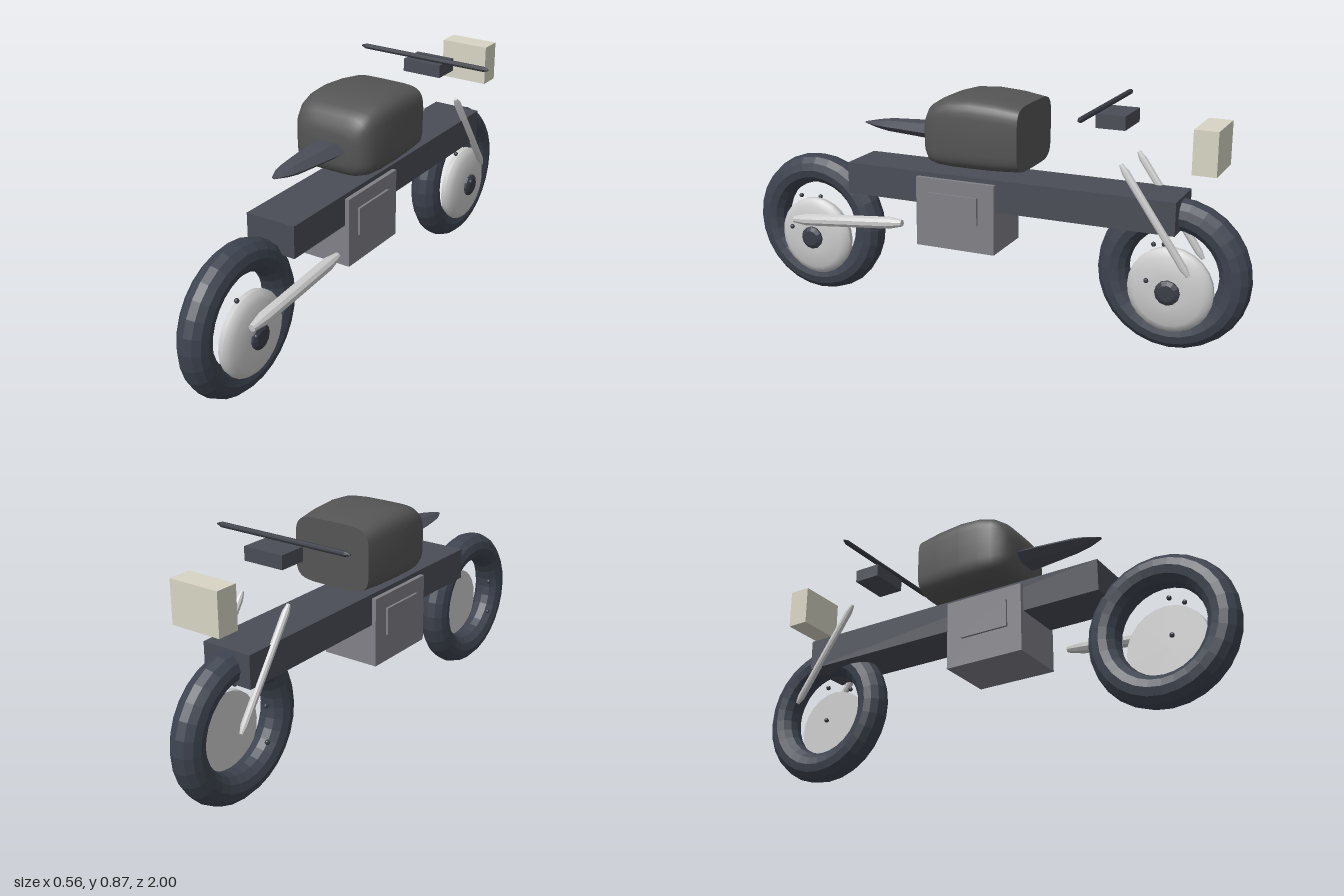
import * as THREE from 'three';
import { toCreasedNormals } from 'three/addons/utils/BufferGeometryUtils.js';

const paint = (color, flatShading = false) => new THREE.MeshStandardMaterial({ color, flatShading });
const rubber = paint(0x3d434f, true);
const frameDark = paint(0x4a4d57);
const trimDark = paint(0x3a3d46, true);
const tankGrey = paint(0x555555);
const engineGrey = paint(0x808087);
const metal = paint(0xcfcfcf);
const cream = paint(0xd8d5c4);

function add(parent, name, geometry, material, x = 0, y = 0, z = 0) {
  const mesh = new THREE.Mesh(geometry, material);
  mesh.name = name;
  mesh.position.set(x, y, z);
  parent.add(mesh);
  return mesh;
}

// Box given by its half width in x and its y and z limits
function box(parent, name, hw, y0, y1, z0, z1, material) {
  add(parent, name, new THREE.BoxGeometry(hw * 2, y1 - y0, z1 - z0), material, 0, (y0 + y1) / 2, (z0 + z1) / 2);
}

// Closed loft through superellipse sections [z, halfWidth, y0, y1, power], z increasing
function loft(sections, n, crease) {
  const pos = [], index = [];
  const bend = (v, p) => Math.sign(v) * Math.abs(v) ** (2 / p);
  for (const [z, hw, y0, y1, p] of sections) {
    for (let j = 0; j < n; j++) {
      const a = (j / n) * Math.PI * 2;
      pos.push(hw * bend(Math.cos(a), p), (y0 + y1) / 2 + ((y1 - y0) / 2) * bend(Math.sin(a), p), z);
    }
  }
  const last = sections.length - 1;
  for (let i = 0; i < last; i++) {
    for (let j = 0; j < n; j++) {
      const a = i * n + j, b = i * n + (j + 1) % n;
      index.push(a, b, a + n, b, b + n, a + n);
    }
  }
  const centre = pos.length / 3;
  for (const i of [0, last]) pos.push(0, (sections[i][2] + sections[i][3]) / 2, sections[i][0]);
  for (let j = 0; j < n; j++) {
    const k = (j + 1) % n;
    index.push(centre, k, j, centre + 1, last * n + j, last * n + k);
  }
  const g = new THREE.BufferGeometry();
  g.setAttribute('position', new THREE.Float32BufferAttribute(pos, 3));
  g.setIndex(index);
  return toCreasedNormals(g, crease);
}

// Lathe with [radius, height] points
const turned = (points, n) =>
  toCreasedNormals(new THREE.LatheGeometry(points.map(p => new THREE.Vector2(...p)), n), 0.5);

// Round rod between two points with tapered ends
function rod(parent, name, from, to, r, tip, taper, material) {
  const a = new THREE.Vector3(...from), b = new THREE.Vector3(...to);
  const h = a.distanceTo(b) / 2;
  const g = turned([[0, -h], [tip, -h], [r, -h + taper], [r, h - taper], [tip, h], [0, h]], 10);
  const m = add(parent, name, g, material, ...a.clone().add(b).multiplyScalar(0.5).toArray());
  m.quaternion.setFromUnitVectors(new THREE.Vector3(0, 1, 0), b.sub(a).normalize());
}

function wheel(name, z) {
  const g = new THREE.Group();
  g.name = name;
  g.position.z = z;
  add(g, 'tire', new THREE.TorusGeometry(0.22, 0.058, 12, 28).rotateY(Math.PI / 2), rubber, 0, 0.28, 0);
  // Wheel disc and hub cap sit on the left side
  const disc = turned([[0, 0.035], [0.153, 0.035], [0.155, 0.055], [0.147, 0.066], [0.125, 0.078], [0.06, 0.084], [0, 0.084]], 24);
  add(g, 'wheelDisc', disc.rotateZ(-Math.PI / 2), metal, 0, 0.235, -0.003);
  const hub = turned([[0, 0.07], [0.045, 0.07], [0.045, 0.092], [0.03, 0.1], [0, 0.1]], 12);
  add(g, 'hubCap', hub.rotateZ(-Math.PI / 2), trimDark, 0, 0.235, -0.003);
  for (const [x, y] of [[-0.085, 0.35], [-0.085, 0.215], [0.124, 0.283], [0.05, 0.392]])
    add(g, 'bolt', new THREE.SphereGeometry(0.009, 8, 6), trimDark, x, y, 0.063);
  return g;
}

export function createModel() {
  const model = new THREE.Group();
  model.name = 'motorbike';
  model.add(wheel('frontWheel', 0.722), wheel('rearWheel', -0.722));

  // Frame beam and engine block with side panels
  box(model, 'frameBeam', 0.098, 0.445, 0.565, -0.745, 0.535, frameDark);
  box(model, 'engine', 0.115, 0.285, 0.548, -0.08, 0.235, engineGrey);
  box(model, 'enginePanels', 0.124, 0.39, 0.495, -0.015, 0.178, engineGrey);

  // Tank: rounded nose, flat cut at the back
  add(model, 'tank', loft([
    [-0.187, 0.16, 0.606, 0.846, 5],
    [-0.1, 0.166, 0.601, 0.86, 5],
    [0, 0.17, 0.6, 0.867, 5],
    [0.08, 0.168, 0.6, 0.862, 5],
    [0.135, 0.16, 0.602, 0.846, 5],
    [0.17, 0.148, 0.608, 0.825, 4.5],
    [0.19, 0.125, 0.627, 0.795, 4],
    [0.197, 0.09, 0.65, 0.765, 3.5],
  ], 40, 0.9), tankGrey);

  // Pointed seat tail
  add(model, 'seat', loft([
    [0.14, 0.075, 0.673, 0.735, 2],
    [0.22, 0.073, 0.673, 0.735, 2],
    [0.4, 0.047, 0.682, 0.728, 2],
    [0.45, 0.036, 0.69, 0.72, 2],
    [0.507, 0.008, 0.702, 0.708, 2],
  ], 6, 0.2), frameDark);

  // Exhaust on the left, and a pair of fork legs
  rod(model, 'exhaust', [0.107, 0.308, 0.785], [0.11, 0.357, 0.3], 0.024, 0.013, 0.06, metal);
  for (const s of [-1, 1])
    rod(model, 'forkLeg', [s * 0.1, 0.31, -0.8], [s * 0.1, 0.677, -0.547], 0.014, 0.007, 0.03, metal);

  // Handlebar, instrument box and lamp
  rod(model, 'handlebar', [-0.282, 0.856, -0.457], [0.282, 0.856, -0.457], 0.01, 0.003, 0.02, trimDark);
  box(model, 'instrumentBox', 0.08, 0.79, 0.84, -0.552, -0.445, frameDark);
  box(model, 'lamp', 0.098, 0.667, 0.822, -0.877, -0.792, cream);

  return model;
}
